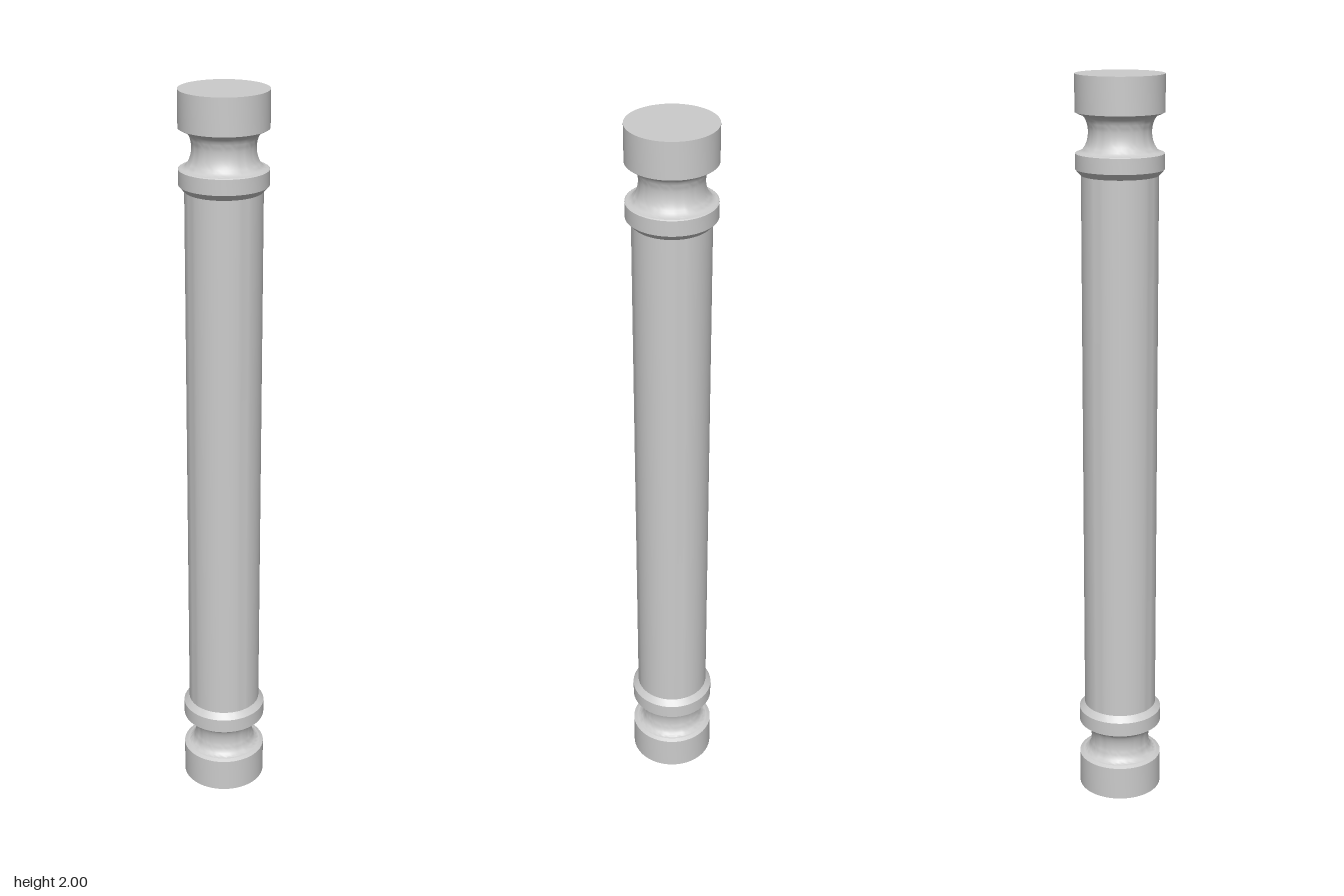
import * as THREE from 'three';
import { toCreasedNormals } from 'three/addons/utils/BufferGeometryUtils.js';

const HEIGHT = 2;
const SIDES = 64;

export function createModel() {
  const group = new THREE.Group();
  const material = new THREE.MeshStandardMaterial({ color: 0xcccccc, side: THREE.DoubleSide });

  // Turns a [radius, y] profile, listed from bottom to top
  const turn = (name, profile) => {
    const points = profile.map(([r, y]) => new THREE.Vector2(r, y));
    const geometry = toCreasedNormals(new THREE.LatheGeometry(points, SIDES), 0.5);
    const mesh = new THREE.Mesh(geometry, material);
    mesh.name = name;
    group.add(mesh);
  };
  const mirrored = (profile) => profile.map(([r, y]) => [r, HEIGHT - y]).reverse();

  // Concave half-ellipse between the plinth and the band
  const cove = [];
  const steps = 16;
  for (let i = 0; i <= steps; i++) {
    const t = i / steps;
    const a = Math.PI * t;
    const rim = THREE.MathUtils.lerp(0.105, 0.112, t);
    cove.push([rim - 0.027 * Math.sin(a), 0.148 - 0.048 * Math.cos(a)]);
  }

  const plinth = [[0.115, 0], [0.115, 0.095], [0.105, 0.1]];
  const band = [[0.112, 0.196], [0.115, 0.198], [0.115, 0.238], [0.104, 0.25], [0.1, 0.254]];

  // Base: open underneath
  turn('basePlinth', plinth);
  turn('baseCove', cove);
  turn('baseBand', band);

  // Plain shaft
  turn('shaft', [[0.1, 0.254], [0.1, HEIGHT - 0.254]]);

  // Capital: the base upside down, closed on top
  turn('capitalBand', mirrored(band));
  turn('capitalCove', mirrored(cove));
  turn('capitalBlock', [...mirrored(plinth), [0, HEIGHT]]);

  return group;
}
